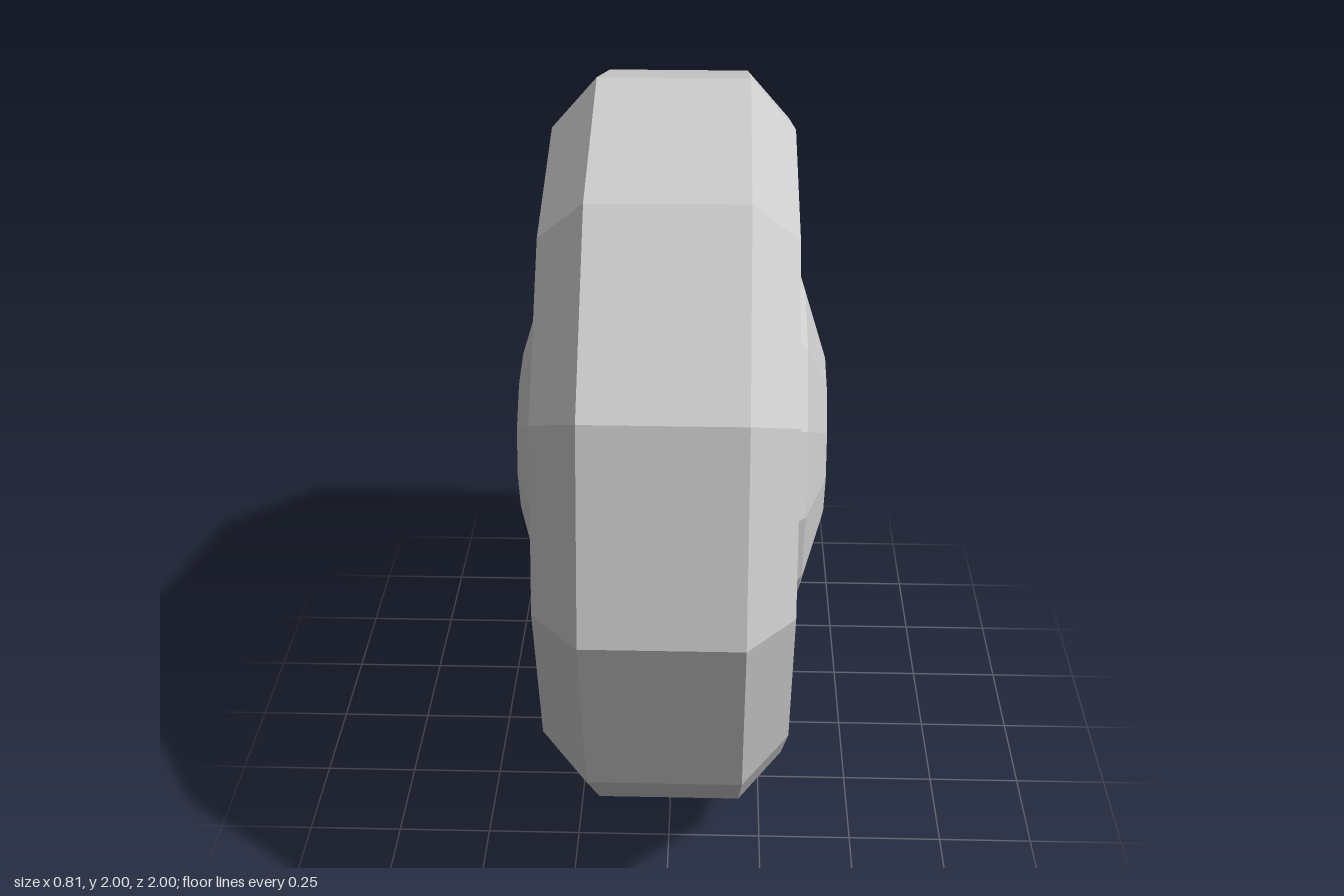
import * as THREE from 'three';

const SIDES = 12;
const STEP = (Math.PI * 2) / SIDES;

// Faceted solid of revolution around the x axle; half profile is [radius, x] from centre outward
function revolve(half, material, name) {
  const pts = [
    ...half.map(([r, x]) => new THREE.Vector2(r, -x)).reverse(),
    ...half.map(([r, x]) => new THREE.Vector2(r, x)),
  ];
  const geo = new THREE.LatheGeometry(pts, SIDES).toNonIndexed();
  geo.rotateZ(-Math.PI / 2);
  geo.computeVertexNormals();
  const mesh = new THREE.Mesh(geo, material);
  mesh.name = name;
  return mesh;
}

// Ring of flat segments, every second one sunk into a tapered pocket
function rimGeometry(side) {
  const inner = 0.515, outer = 0.62, face = 0.26, floor = 0.16;
  const pos = [];
  const quad = (a, b, c, d) => {
    const order = side > 0 ? [a, b, c, a, c, d] : [a, c, b, a, d, c];
    order.forEach((v) => pos.push(v.x * side, v.y, v.z));
  };
  const point = (r, a, x) => new THREE.Vector3(x, r * Math.cos(a), r * Math.sin(a));
  for (let i = 0; i < SIDES; i++) {
    const a0 = i * STEP, a1 = a0 + STEP;
    const top = [point(inner, a0, face), point(outer, a0, face), point(outer, a1, face), point(inner, a1, face)];
    if (i % 2 === 1) {
      quad(...top);
      continue;
    }
    const i0 = point(inner, a0, floor), i1 = point(inner, a1, floor);
    const o0 = point(outer - 0.012, a0, floor), o1 = point(outer - 0.012, a1, floor);
    const t = 0.12;
    const low = [
      i0.clone().lerp(i1, t), o0.clone().lerp(o1, t),
      o1.clone().lerp(o0, t), i1.clone().lerp(i0, t),
    ];
    quad(...low);
    for (let k = 0; k < 3; k++) quad(top[k], top[k + 1], low[k + 1], low[k]);
  }
  const geo = new THREE.BufferGeometry();
  geo.setAttribute('position', new THREE.Float32BufferAttribute(pos, 3));
  geo.computeVertexNormals();
  return geo;
}

export function createModel() {
  const grey = new THREE.MeshStandardMaterial({ color: 0xcccccc });
  grey.name = 'light grey';

  const wheel = new THREE.Group();
  wheel.name = 'wheel';

  // Tyre: tread, chamfered shoulders, side walls and inner bevel
  const tyre = [[1, 0.19], [0.87, 0.305], [0.715, 0.305], [0.62, 0.26]];
  wheel.add(revolve(tyre, grey, 'tyre'));

  // Domed hub on both sides
  const hub = [[0.52, 0.26], [0.43, 0.345], [0.235, 0.405], [0, 0.405]];
  wheel.add(revolve(hub, grey, 'hub'));

  // Pocketed rims, mirrored
  for (const side of [1, -1]) {
    const rim = new THREE.Mesh(rimGeometry(side), grey);
    rim.name = side > 0 ? 'leftRim' : 'rightRim';
    wheel.add(rim);
  }

  wheel.position.y = 1;
  const model = new THREE.Group();
  model.name = 'wheelModel';
  model.add(wheel);
  return model;
}
